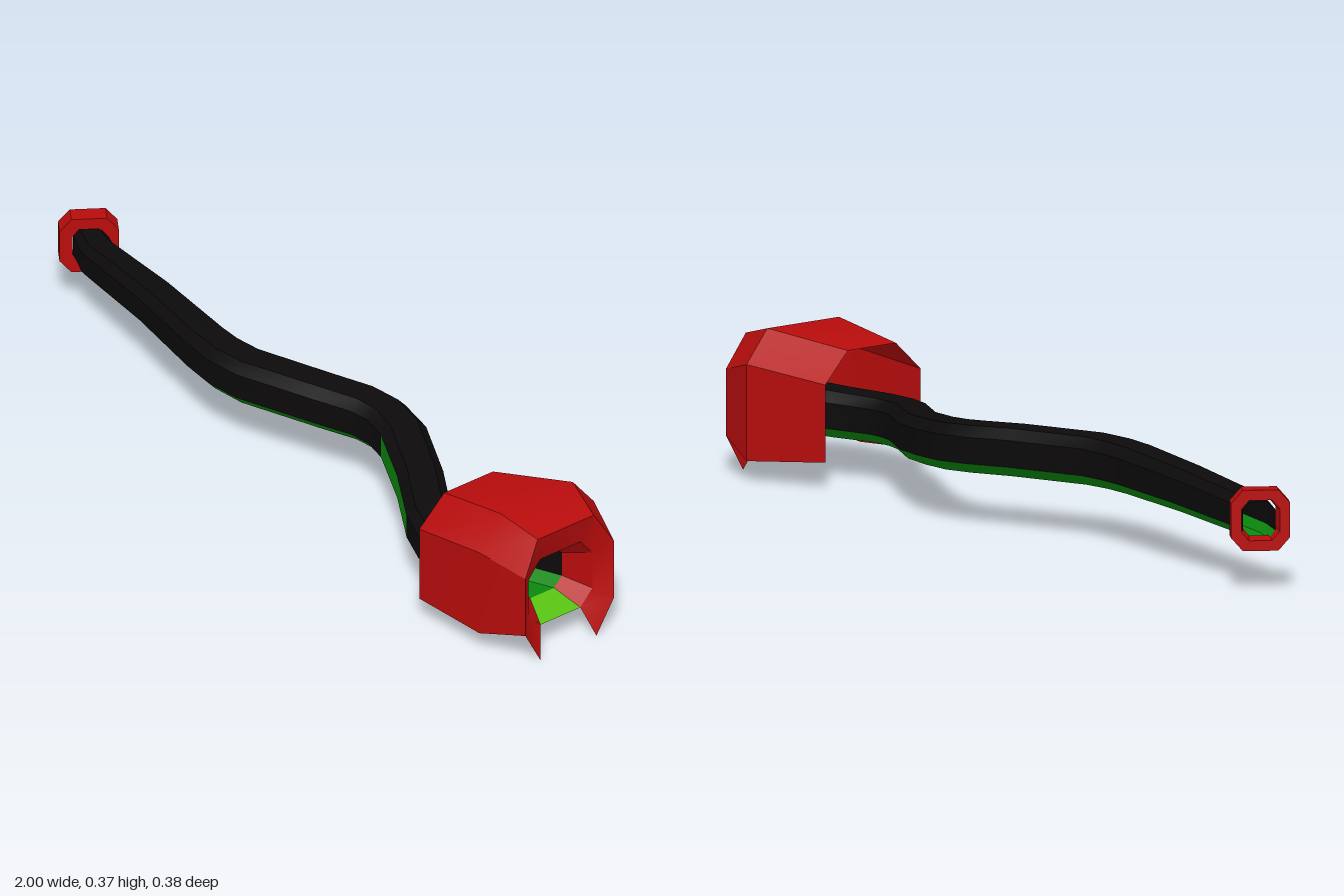
import * as THREE from 'three';
import { toCreasedNormals } from 'three/addons/utils/BufferGeometryUtils.js';

const material = (color) => new THREE.MeshStandardMaterial({ color, side: THREE.DoubleSide });
const red = material(0xb80c0c);
const black = material(0x0c0a0a);
const green = material(0x0b8a0e);
const lime = material(0x55c010);

// Skins rings of points; keep(i, j) selects the panel between rings i, i+1 at side j.
function loft(rings, closed, keep = () => true) {
  const pos = [];
  const n = rings[0].length;
  for (let i = 0; i < rings.length - 1; i++) {
    for (let j = 0; j < (closed ? n : n - 1); j++) {
      if (!keep(i, j)) continue;
      const k = (j + 1) % n;
      const a = rings[i][j], b = rings[i][k], c = rings[i + 1][k], d = rings[i + 1][j];
      for (const p of [a, c, b, a, d, c]) pos.push(p.x, p.y, p.z);
    }
  }
  const g = new THREE.BufferGeometry();
  g.setAttribute('position', new THREE.Float32BufferAttribute(pos, 3));
  return toCreasedNormals(g, 0.55);
}

// Octagon across a horizontal direction; starts at the bottom and climbs the +z side.
function octagon(center, tangent, w, h) {
  const side = new THREE.Vector3(-tangent.z, 0, tangent.x).normalize();
  const u = w / 2, v = h / 2, a = 0.6 * u, b = 0.56 * v;
  return [[a, -v], [u, -b], [u, b], [a, v], [-a, v], [-u, b], [-u, -b], [-a, -v]].map(([s, y]) =>
    center.clone().addScaledVector(side, s).add(new THREE.Vector3(0, y, 0)));
}

const ring = (pts) => pts.map(([x, y, z]) => new THREE.Vector3(x, y, z));

export function createModel() {
  const model = new THREE.Group();
  const add = (name, geometry, mat, parent = model) => {
    const m = new THREE.Mesh(geometry, mat);
    m.name = name;
    parent.add(m);
  };

  // Winding pipe: x, y, z, width, height
  const stations = [
    [-0.94, 0.165, -0.108, 0.08, 0.09], [-0.87, 0.167, -0.077, 0.085, 0.094],
    [-0.6, 0.184, -0.04, 0.098, 0.104], [-0.36, 0.19, 0, 0.11, 0.112],
    [-0.28, 0.191, 0.007, 0.114, 0.114], [-0.2, 0.192, 0, 0.114, 0.116],
    [0, 0.192, -0.07, 0.112, 0.116], [0.1, 0.19, -0.11, 0.112, 0.115],
    [0.17, 0.187, -0.121, 0.113, 0.114], [0.25, 0.182, -0.107, 0.114, 0.112],
    [0.4, 0.164, -0.036, 0.112, 0.11], [0.54, 0.154, 0.05, 0.11, 0.11],
    [0.61, 0.15, 0.077, 0.112, 0.108], [0.68, 0.15, 0.077, 0.114, 0.108],
    [0.78, 0.156, 0.03, 0.12, 0.112], [0.89, 0.163, -0.012, 0.123, 0.115],
  ];
  const centers = stations.map(([x, y, z]) => new THREE.Vector3(x, y, z));
  const sections = stations.map((s, i) => {
    const t = i === stations.length - 1 ? new THREE.Vector3(1, 0, 0)
      : centers[i + 1].clone().sub(centers[Math.max(i - 1, 0)]);
    return octagon(centers[i], t, s[3], s[4]);
  });
  const isGreen = (i, j) => j === 7 || j === 0 || j === 6 || (j === 1 && (i === 9 || i === 10));
  const pipe = new THREE.Group();
  pipe.name = 'pipe';
  model.add(pipe);
  add('pipeUpper', loft(sections, true, (i, j) => !isGreen(i, j)), black, pipe);
  add('pipeUnderside', loft(sections, true, isGreen), green, pipe);

  // Collar on the narrow end, turned with the pipe
  const axis = new THREE.Vector3(0.82, 0, 0.57);
  const collarCenter = new THREE.Vector3(-0.942, 0.17, -0.108);
  const collarRings = [[-0.023, 0.092, 0.098], [-0.023, 0.142, 0.148], [0.023, 0.142, 0.148],
    [0.023, 0.08, 0.09], [-0.023, 0.092, 0.098]]
    .map(([d, w, h]) => octagon(collarCenter.clone().addScaledVector(axis, d), axis, w, h));
  add('collar', loft(collarRings, true), red);

  // Hood: arched shell, open below and behind
  const back = ring([[0.67, 0.062, 0.187], [0.67, 0.258, 0.187], [0.67, 0.33, 0.11],
    [0.67, 0.33, -0.04], [0.67, 0.255, -0.11], [0.67, 0.066, -0.11]]);
  const middle = ring([[0.87, 0.053, 0.165], [0.87, 0.28, 0.165], [0.87, 0.365, 0.1],
    [0.87, 0.365, -0.123], [0.87, 0.285, -0.188], [0.87, 0.05, -0.188]]);
  const rim = ring([[0.99, 0, 0.075], [0.995, 0.09, 0.125], [0.995, 0.25, 0.125], [0.98, 0.335, 0.075],
    [0.98, 0.335, -0.098], [0.995, 0.25, -0.148], [0.995, 0.09, -0.148], [0.99, 0, -0.098]]);
  add('hoodShell', loft([back, middle, rim.slice(1, 7)], false), red);

  // Mouth: funnel from the rim (with its two lower spikes) into the pipe
  const lip = ring([[0.96, 0.075, 0.05], [0.96, 0.115, 0.087], [0.96, 0.215, 0.087], [0.96, 0.26, 0.05],
    [0.96, 0.26, -0.073], [0.96, 0.215, -0.11], [0.96, 0.115, -0.11], [0.96, 0.075, -0.073]]);
  const throat = sections[sections.length - 1];
  add('hoodFace', loft([rim, lip], false), red);
  add('mouthFunnel', loft([lip, throat], false), red);
  add('mouthFloor', loft([lip, throat], true, (i, j) => j === 7), lime);

  return model;
}
